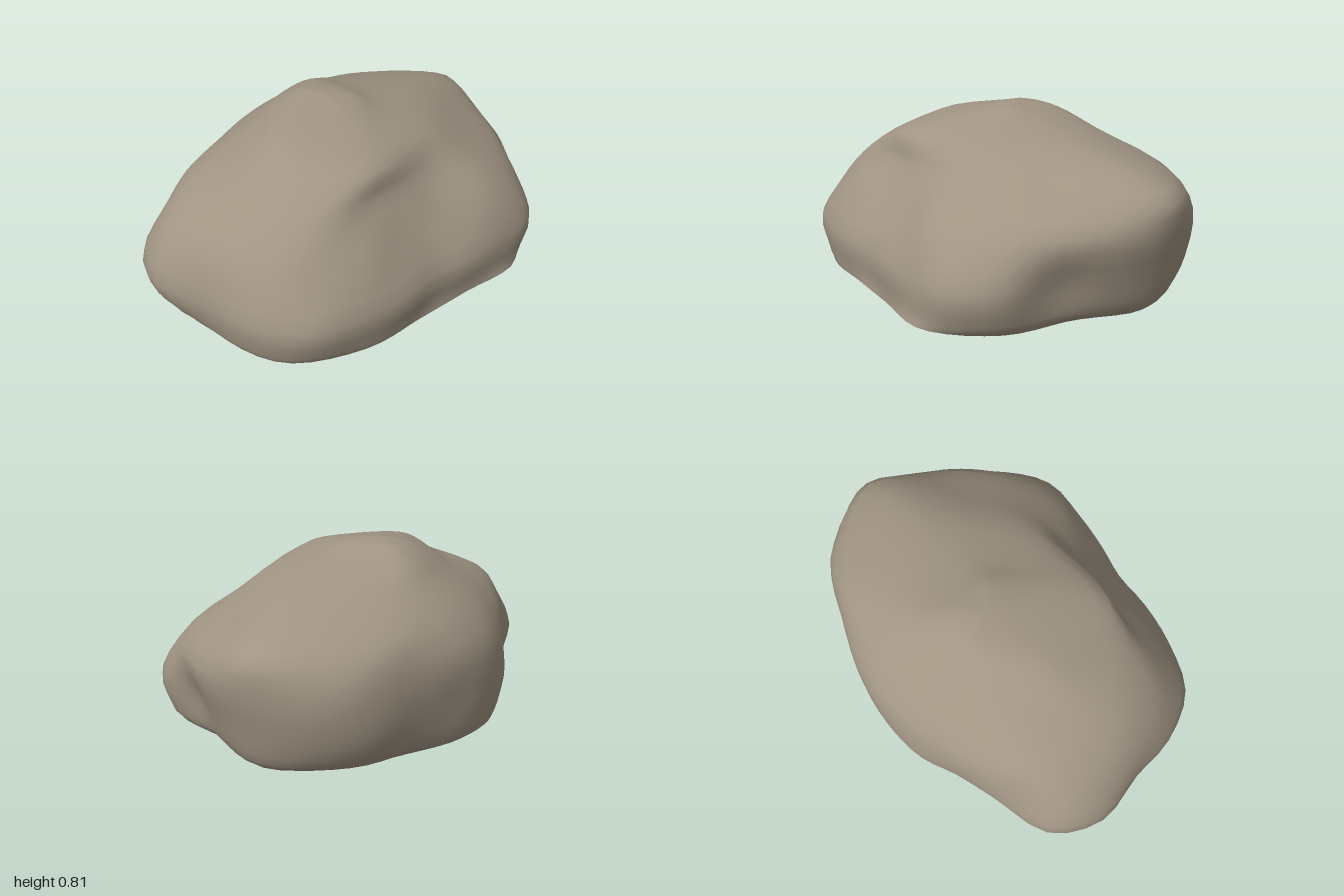
import * as THREE from 'three';

const COLUMNS = 72;
const ROWS = 24;
const APEX = new THREE.Vector3(-0.02, 0.81, -0.15);

// Smooth closed contour at height y, from radii evenly spaced around (0, z), +x towards +z
function contour(y, z, radii) {
  const points = radii.map((radius, i) => {
    const a = (i / radii.length) * Math.PI * 2;
    return new THREE.Vector3(Math.cos(a) * radius, y, z + Math.sin(a) * radius);
  });
  const curve = new THREE.CatmullRomCurve3(points, true, 'catmullrom', 0.5);
  return Array.from({ length: COLUMNS }, (_, i) => curve.getPoint(i / COLUMNS));
}

function makeGeometry(points, index) {
  const geometry = new THREE.BufferGeometry().setFromPoints(points);
  geometry.setIndex(index);
  geometry.computeVertexNormals();
  return geometry;
}

export function createModel() {
  const group = new THREE.Group();
  group.name = 'boulder';
  const stone = new THREE.MeshStandardMaterial({ color: 0xa09483 });
  stone.name = 'warm grey stone';

  // Footprint, widest girth, then the contours narrowing to the summit
  const footprint = contour(0, -0.05, [.86, .78, .87, .88, .74, .73, .84, .95, .92, .87, .74, .68, .69, .68, .68, .77]);
  const girth = contour(0.2, -0.05, [.95, .9, .84, .93, .925, .81, .74, .71, .77, .86, .97, .985,
    .97, 1.04, 1, .81, .725, .72, .71, .715, .72, .765, .88, .94]);
  const shoulder = contour(0.4, -0.05, [.99, .91, .83, .75, .59, .59, .73, .87, .91, .94, .77, .68, .68, .71, .77, .93]);
  const upper = contour(0.55, -0.05, [.94, .66, .57, .47, .5, .69, .77, .75, .59, .57, .63, .78]);
  const brow = contour(0.67, -0.05, [.57, .41, .39, .51, .53, .44, .42, .48]);
  const crown = contour(0.745, -0.1, [.24, .21, .3, .38, .28, .3]);
  const summit = contour(0.795, -0.15, [.09, .13, .12, .1, .13, .13]);

  // Rounded step just above the ground
  const step = footprint.map((p, i) => p.clone().lerp(girth[i], 0.55).setY(0.05));
  const loops = [footprint, step, girth, shoulder, upper, brow, crown, summit];

  // Each column climbs smoothly from the ground to the apex
  const columns = footprint.map((_, c) => {
    const path = new THREE.CatmullRomCurve3([...loops.map((loop) => loop[c]), APEX], false, 'catmullrom', 0.5);
    return Array.from({ length: ROWS }, (_, k) => path.getPoint(k / ROWS));
  });

  // Weathered outer surface
  const points = [...columns.flat(), APEX];
  const skin = [];
  for (let c = 0; c < COLUMNS; c++) {
    const here = c * ROWS;
    const next = ((c + 1) % COLUMNS) * ROWS;
    for (let k = 0; k < ROWS - 1; k++) {
      skin.push(here + k, here + k + 1, next + k);
      skin.push(next + k, here + k + 1, next + k + 1);
    }
    skin.push(here + ROWS - 1, points.length - 1, next + ROWS - 1);
  }
  const surface = new THREE.Mesh(makeGeometry(points, skin), stone);
  surface.name = 'rockSurface';
  group.add(surface);

  // Flat underside
  const fan = [];
  for (let c = 0; c < COLUMNS; c++) fan.push(COLUMNS, c, (c + 1) % COLUMNS);
  const underside = new THREE.Mesh(makeGeometry([...footprint, new THREE.Vector3(0, 0, -0.05)], fan), stone);
  underside.name = 'flatUnderside';
  group.add(underside);

  return group;
}
